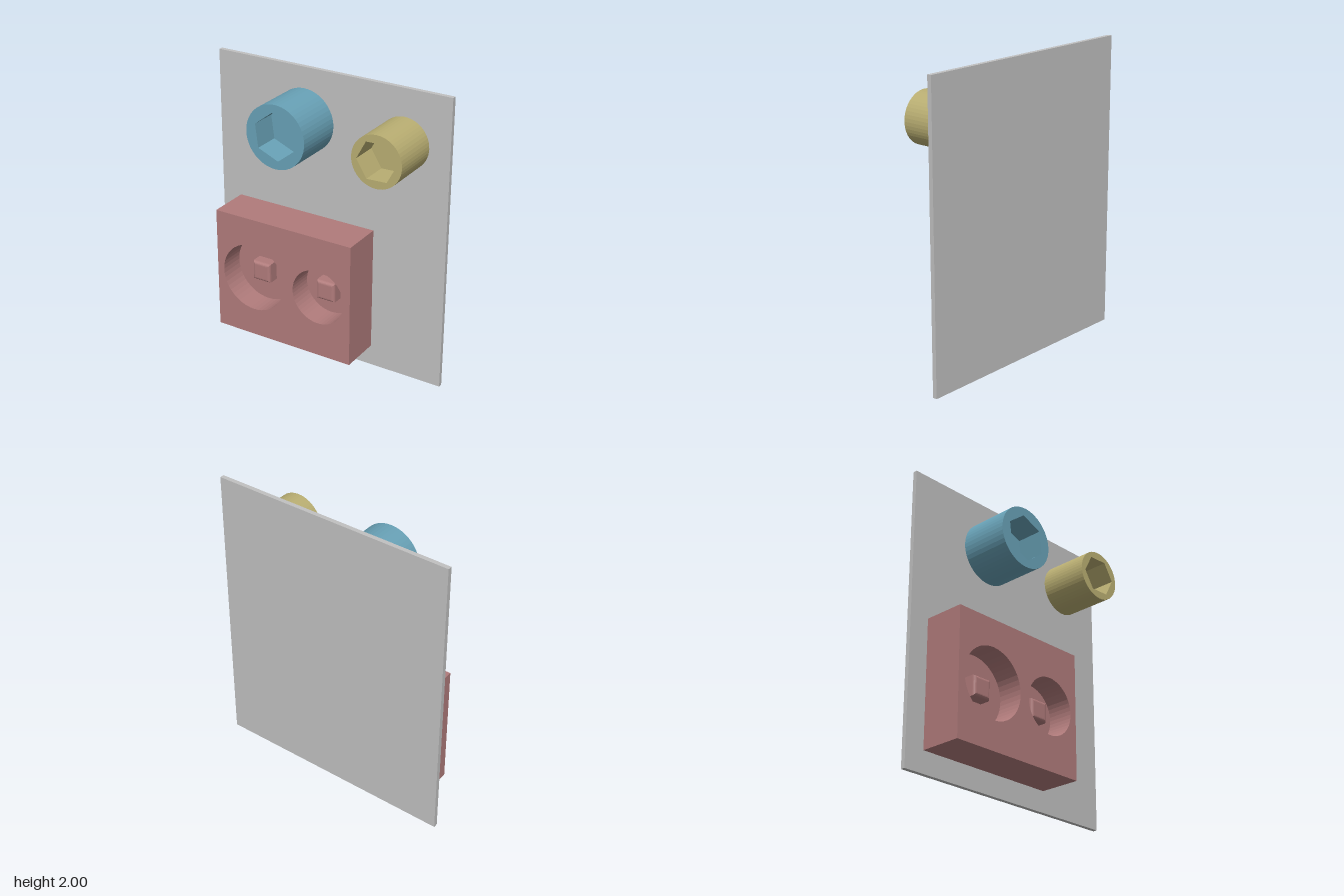
import * as THREE from 'three';

const BACK = -0.155; // front surface of the panel, where every part is mounted

const material = (name, color) => {
  const m = new THREE.MeshStandardMaterial({ color });
  m.name = name;
  return m;
};

const circle = (PathType, x, y, r) => new PathType().absarc(x, y, r, 0, Math.PI * 2, false);

function rectangle(x0, y0, x1, y1) {
  return new THREE.Shape([[x0, y0], [x1, y0], [x1, y1], [x0, y1]].map(([x, y]) => new THREE.Vector2(x, y)));
}

function hexagon(PathType, r, degrees) {
  const points = [];
  for (let i = 0; i < 6; i++) {
    const a = THREE.MathUtils.degToRad(degrees + i * 60);
    points.push(new THREE.Vector2(r * Math.cos(a), r * Math.sin(a)));
  }
  return new PathType(points);
}

// Extrudes a shape between two z levels
function slab(name, shape, z0, z1, mat) {
  const geometry = new THREE.ExtrudeGeometry(shape, { depth: z1 - z0, bevelEnabled: false, curveSegments: 24 });
  geometry.translate(0, 0, z0);
  const mesh = new THREE.Mesh(geometry, mat);
  mesh.name = name;
  return mesh;
}

// Round boss with a blind hexagonal socket in its front
function socketBoss(name, x, y, r, hexR, degrees, mat) {
  const group = new THREE.Group();
  group.name = name;
  const front = 0.185, floor = 0.005;
  const ring = circle(THREE.Shape, 0, 0, r);
  ring.holes.push(hexagon(THREE.Path, hexR, degrees));
  group.add(slab('socketWall', ring, BACK, front, mat));
  group.add(slab('socketFloor', hexagon(THREE.Shape, hexR, degrees), BACK, floor, mat));
  group.position.set(x, y, 0);
  return group;
}

// Square peg with rounded front edges, its rear bevel sunk into the floor
function peg(x, y, floor, top, mat) {
  const size = 0.135, b = 0.02, h = size / 2 - b;
  const geometry = new THREE.ExtrudeGeometry(rectangle(-h, -h, h, h), {
    depth: top - floor, bevelEnabled: true, bevelSize: b, bevelThickness: b, bevelSegments: 5,
  });
  geometry.translate(x, y, floor - b);
  const mesh = new THREE.Mesh(geometry, mat);
  mesh.name = 'peg';
  return mesh;
}

export function createModel() {
  const grey = material('panelGrey', 0xc0c0c0);
  const red = material('blockRed', 0xb07b7b);
  const blue = material('bossBlue', 0x68a1b6);
  const yellow = material('bossYellow', 0xb9ae72);

  const model = new THREE.Group();
  model.name = 'mountingPanel';

  // Back panel
  model.add(slab('panel', rectangle(-0.84, 0, 0.84, 2), -0.185, BACK, grey));

  // Block with two round pockets, each holding a square peg
  const block = new THREE.Group();
  block.name = 'pocketBlock';
  const floor = -0.045, front = 0.13, y = 0.575;
  const pockets = [[-0.415, 0.237], [0.085, 0.192]];
  const face = rectangle(-0.7, 0.145, 0.325, 1);
  for (const [x, r] of pockets) {
    face.holes.push(circle(THREE.Path, x, y, r));
    block.add(slab('pocketFloor', circle(THREE.Shape, x, y, r), BACK, floor, red));
    block.add(peg(x, y, floor, 0.04, red));
  }
  block.add(slab('blockBody', face, BACK, front, red));
  model.add(block);

  // Bosses with hexagonal sockets
  model.add(socketBoss('largeBoss', -0.19, 1.645, 0.213, 0.158, 37.5, blue));
  model.add(socketBoss('smallBoss', 0.525, 1.645, 0.172, 0.137, 2, yellow));
  return model;
}
